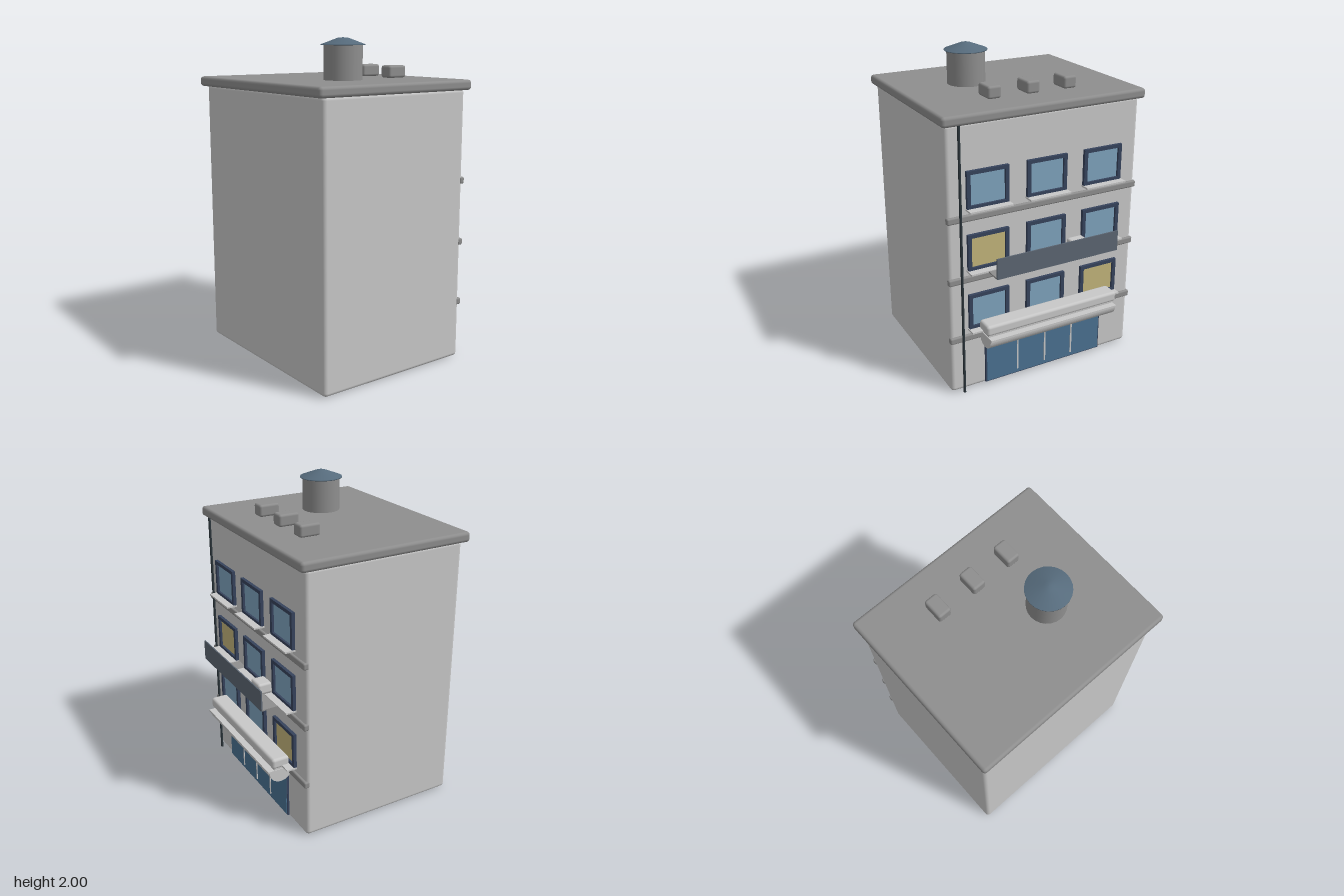
import * as THREE from 'three';
import { RoundedBoxGeometry } from 'three/addons/geometries/RoundedBoxGeometry.js';

const paint = (name, color, side = THREE.FrontSide) => {
  const m = new THREE.MeshStandardMaterial({ color, side });
  m.name = name;
  return m;
};

export function createModel() {
  const wall = paint('pale wall', 0xc8c8c8);
  const concrete = paint('grey concrete', 0x8e8e8e);
  const glass = paint('window blue', 0x7ea3bd);
  const lit = paint('warm yellow', 0xc2b47a);
  const shop = paint('shop blue', 0x4a7191);
  const navy = paint('frame navy', 0x36435c);
  const slate = paint('slate', 0x5c6672);
  const capBlue = paint('tank cap blue', 0x566b7c, THREE.DoubleSide);
  const dark = paint('pipe dark', 0x2c363c);

  const model = new THREE.Group();
  model.name = 'building';

  const add = (name, geometry, material, parent = model) => {
    const mesh = new THREE.Mesh(geometry, material);
    mesh.name = name;
    parent.add(mesh);
    return mesh;
  };
  // Box given by its limits on each axis; a radius rounds its edges
  const box = (name, material, [x0, x1], [y0, y1], [z0, z1], radius = 0, segments = 2, parent = model) => {
    const size = [x1 - x0, y1 - y0, z1 - z0];
    const geometry = radius ? new RoundedBoxGeometry(...size, segments, radius) : new THREE.BoxGeometry(...size);
    const mesh = add(name, geometry, material, parent);
    mesh.position.set((x0 + x1) / 2, (y0 + y1) / 2, (z0 + z1) / 2);
    return mesh;
  };

  // Main block and roof slab
  box('body', wall, [-0.59, 0.455], [0.005, 1.7], [-0.64, 0.64], 0.025, 4);
  box('roofSlab', concrete, [-0.63, 0.49], [1.69, 1.752], [-0.665, 0.665], 0.02, 2);

  // Water tank with a shallow conical cap
  const tank = new THREE.Group();
  tank.name = 'waterTank';
  tank.position.set(-0.143, 0, 0.22);
  model.add(tank);
  add('tankDrum', new THREE.CylinderGeometry(0.117, 0.117, 0.22, 24), concrete, tank).position.y = 1.855;
  const capProfile = [[0, 1.955], [0.132, 1.955], [0.132, 1.96], [0.03, 1.998], [0, 2]];
  add('tankCap', new THREE.LatheGeometry(capProfile.map(p => new THREE.Vector2(...p)), 24), capBlue, tank);

  // Roof vents
  for (const z of [-0.255, -0.005, 0.248])
    box('roofVent', concrete, [0.16, 0.293], [1.755, 1.83], [z - 0.043, z + 0.043], 0.015);

  // Ledges between the floors
  for (const y of [0.367, 0.755, 1.141])
    box('ledge', concrete, [0.435, 0.47], [y - 0.021, y + 0.021], [-0.643, 0.643], 0.01);

  // Windows: frame with an opening, pane and sill
  const frameShape = new THREE.Shape();
  const outline = (target, w, h) => target
    .moveTo(-w, -h).lineTo(w, -h).lineTo(w, h).lineTo(-w, h).closePath();
  outline(frameShape, 0.133, 0.115);
  const opening = new THREE.Path();
  outline(opening, 0.11, 0.093);
  frameShape.holes.push(opening);
  const frameGeometry = new THREE.ExtrudeGeometry(frameShape, { depth: 0.03, bevelEnabled: false });
  frameGeometry.rotateY(Math.PI / 2);

  [0.537, 0.922, 1.308].forEach((y, row) => {
    [0.387, 0, -0.387].forEach((z, col) => {
      const win = new THREE.Group();
      win.name = 'window';
      win.position.set(0, y, z);
      model.add(win);
      add('windowFrame', frameGeometry, navy, win).position.x = 0.445;
      const isLit = (row === 0 && col === 2) || (row === 1 && col === 0);
      box('windowPane', isLit ? lit : glass, [0.452, 0.461], [-0.1, 0.1], [-0.115, 0.115], 0, 0, win);
      box('windowSill', wall, [0.45, 0.522], [-0.12, -0.11], [-0.137, 0.137], 0, 0, win);
    });
  });

  // Balcony with a solid front panel and an air conditioner
  box('balconyFloor', concrete, [0.45, 0.622], [0.8, 0.808], [-0.413, 0.413]);
  box('balconyPanel', slate, [0.617, 0.625], [0.8, 0.93], [-0.413, 0.413]);
  box('airConditioner', wall, [0.47, 0.56], [0.81, 0.88], [-0.25, -0.14], 0.015);

  // Shop front
  box('shopSurround', navy, [0.45, 0.468], [0.018, 0.35], [-0.415, 0.415]);
  box('shopGlass', shop, [0.465, 0.472], [0.025, 0.345], [-0.407, 0.407]);
  for (const z of [-0.195, 0, 0.195])
    box('shopMullion', wall, [0.47, 0.477], [0.05, 0.33], [z - 0.005, z + 0.005]);

  // Rolled awning: half-round roll, shelf and cover box
  const roll = add('awningRoll',
    new THREE.CylinderGeometry(0.068, 0.068, 0.89, 24, 1, false, 0, Math.PI), wall);
  roll.rotation.set(Math.PI / 2, Math.PI / 2, 0, 'YXZ');
  roll.geometry.rotateY(-Math.PI / 2);
  roll.geometry.rotateX(Math.PI / 2);
  roll.rotation.set(0, 0, 0);
  // The arc sweeps downward below the shelf
  const arc = new THREE.Shape();
  arc.absarc(0, 0, 0.075, Math.PI, Math.PI * 2, false);
  arc.closePath();
  roll.geometry = new THREE.ExtrudeGeometry(arc, { depth: 0.89, bevelEnabled: false, curveSegments: 20 });
  roll.position.set(0.523, 0.385, -0.445);
  box('awningShelf', wall, [0.45, 0.607], [0.383, 0.395], [-0.445, 0.445]);
  box('awningCover', wall, [0.47, 0.583], [0.41, 0.477], [-0.457, 0.457], 0.018);
  box('awningNeck', wall, [0.47, 0.565], [0.39, 0.42], [-0.44, 0.44]);

  // Drain pipe
  add('drainPipe', new THREE.CylinderGeometry(0.008, 0.008, 1.695, 10), dark).position.set(0.479, 0.8475, 0.565);

  return model;
}
